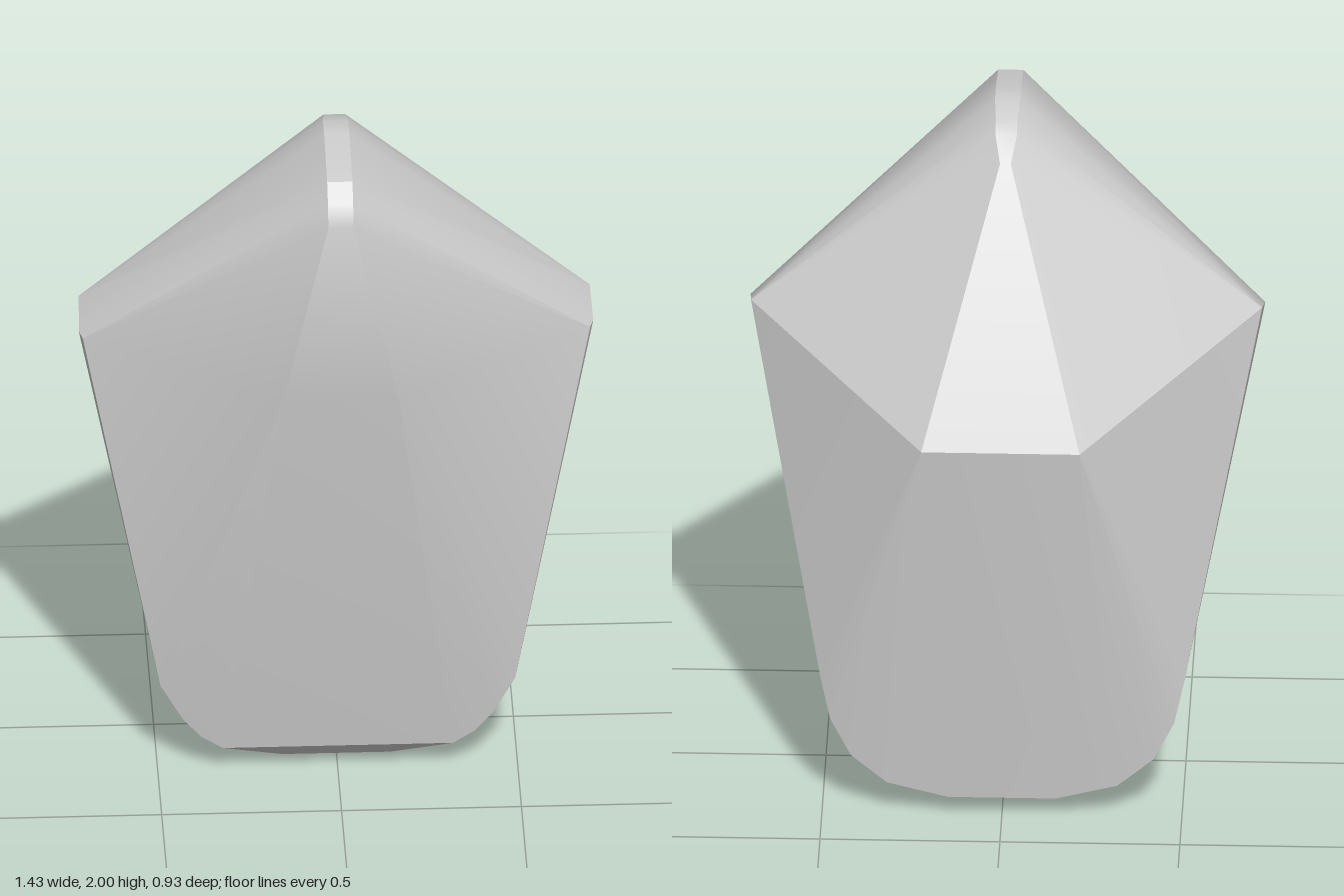
import * as THREE from 'three';
import { ConvexGeometry } from 'three/addons/geometries/ConvexGeometry.js';
import { toCreasedNormals } from 'three/addons/utils/BufferGeometryUtils.js';

export function createModel() {
  const group = new THREE.Group();

  // Corner points of the left half; the right half is mirrored
  const half = [
    // rounded crest, front to back
    [0.035, 1.85, 0.465], [0.035, 1.91, 0.44], [0.035, 1.955, 0.39],
    [0.035, 2.0, 0.2], [0.035, 2.0, 0.13], [0.03, 1.975, 0.05],
    [0.03, 1.95, 0.01], [0.015, 1.89, -0.05],
    // shoulders
    [0.71, 1.405, 0.04], [0.715, 1.36, 0.16], [0.705, 1.35, 0.182],
    // belly and back ridge
    [0.16, 1.3, 0.465], [0.22, 1.2, -0.465],
    // lower corners of the side panel
    [0.493, 0.28, 0.27], [0.505, 0.41, -0.315],
    // rounded lower front corner
    [0.43, 0.17, 0.27], [0.38, 0.115, 0.272], [0.32, 0.08, 0.277],
    // rounded lower back corner
    [0.478, 0.29, -0.33], [0.42, 0.18, -0.338], [0.32, 0.1, -0.345], [0.15, 0.057, -0.345],
    // foot edge
    [0.15, 0, 0.18],
  ];
  const points = half.flatMap(([x, y, z]) => [
    new THREE.Vector3(x, y, z), new THREE.Vector3(-x, y, z),
  ]);

  // Faceted stone body with softly shaded bevels
  const stone = new THREE.Mesh(
    toCreasedNormals(new ConvexGeometry(points), 0.45),
    new THREE.MeshStandardMaterial({ color: 0xcccccc }),
  );
  stone.name = 'stone';
  group.add(stone);
  return group;
}
